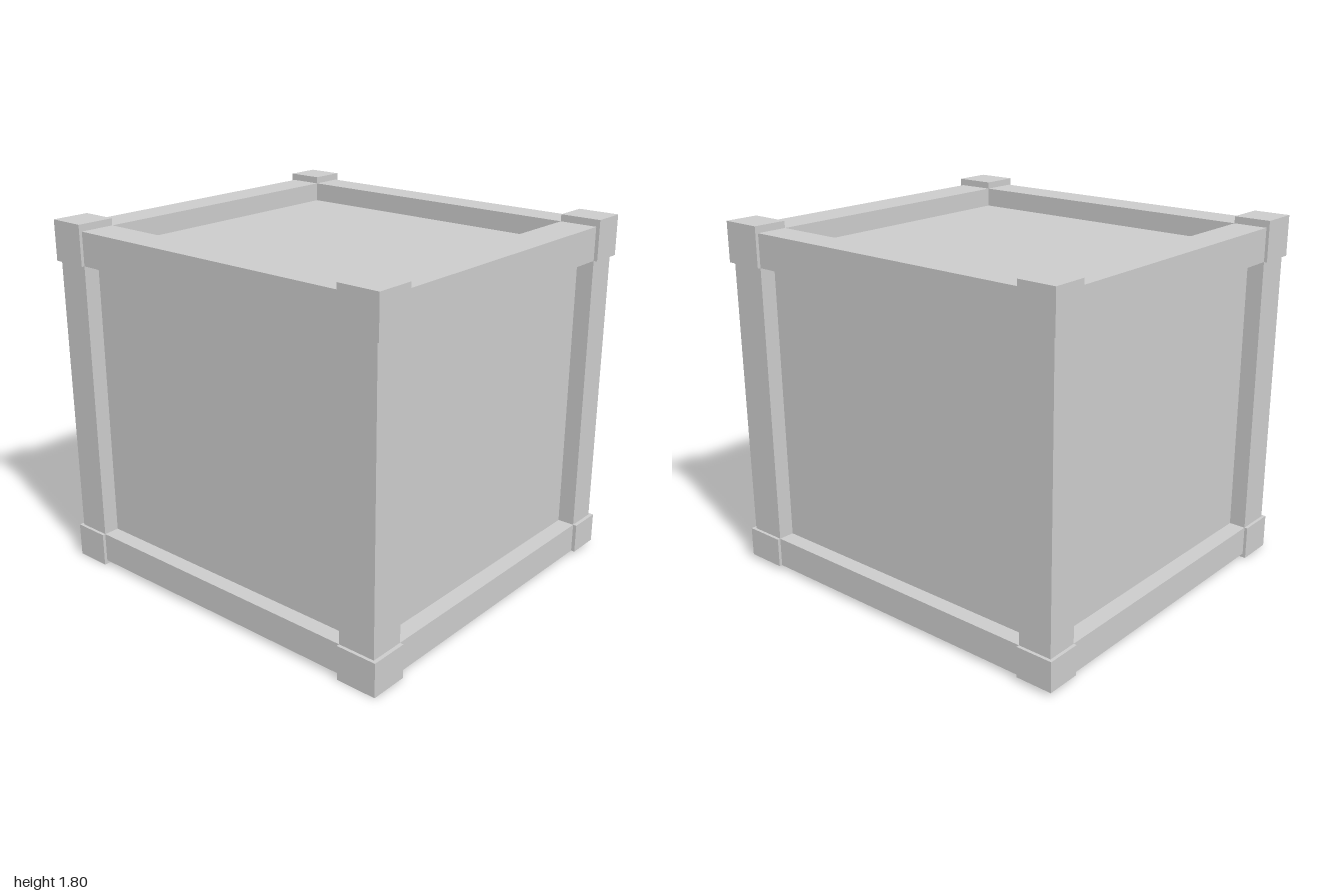
import * as THREE from 'three';

const material = new THREE.MeshStandardMaterial({ color: 0xcccccc, flatShading: true });

// Box given by its [min, max] range on each axis
function box(name, [x0, x1], [y0, y1], [z0, z1]) {
  const mesh = new THREE.Mesh(new THREE.BoxGeometry(x1 - x0, y1 - y0, z1 - z0), material);
  mesh.position.set((x0 + x1) / 2, (y0 + y1) / 2, (z0 + z1) / 2);
  mesh.name = name;
  return mesh;
}

export function createModel() {
  const crate = new THREE.Group();
  crate.name = 'crate';

  // Ranges of the corner blocks, and of the slightly thinner frame bars
  const cornerX = [[-0.933, -0.735], [0.755, 0.933]];
  const cornerY = [[0, 0.172], [1.597, 1.8]];
  const cornerZ = [[-1, -0.81], [0.787, 1]];
  const barX = [[-0.917, -0.735], [0.755, 0.917]];
  const barY = [[0.02, 0.172], [1.597, 1.765]];
  const barZ = [[-0.984, -0.81], [0.787, 0.981]];
  // Open spans between corners
  const spanX = [-0.735, 0.755];
  const spanY = [0.172, 1.597];
  const spanZ = [-0.81, 0.787];

  // Recessed panels as one solid body
  crate.add(box('panels', [-0.835, 0.835], [0.095, 1.668], [-0.897, 0.893]));

  for (let i = 0; i < 2; i++) {
    for (let j = 0; j < 2; j++) {
      // Frame bars along each axis
      crate.add(box('crossRail', spanX, barY[i], barZ[j]));
      crate.add(box('sideRail', barX[i], barY[j], spanZ));
      crate.add(box('post', barX[i], spanY, barZ[j]));

      // Corner blocks; the lower ones on the +x side end level with the rails
      for (let k = 0; k < 2; k++) {
        const y = i === 1 && k === 0 ? barY[0] : cornerY[k];
        crate.add(box('cornerBlock', cornerX[i], y, cornerZ[j]));
      }
    }
  }
  return crate;
}
